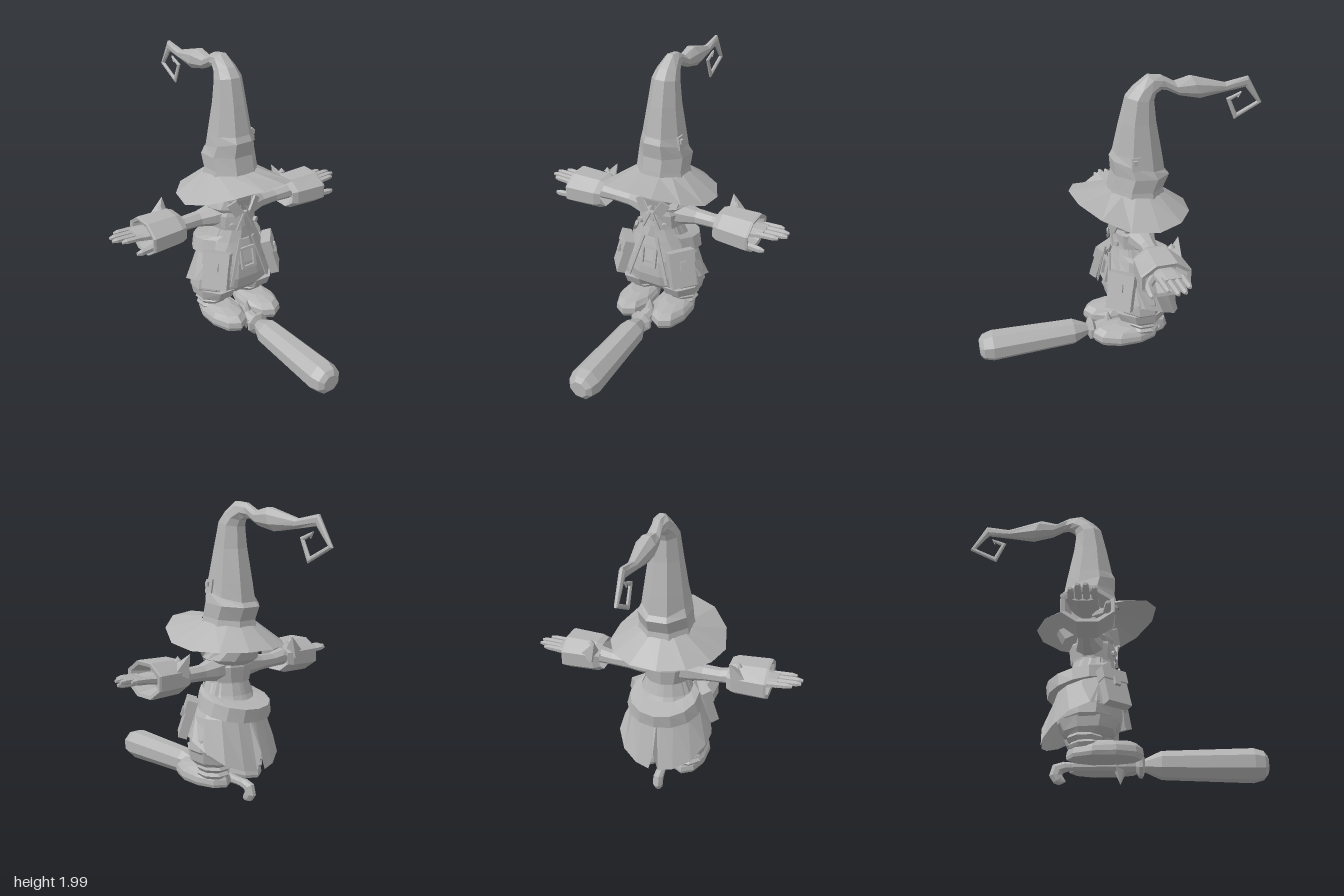
import * as THREE from 'three';

const gray = new THREE.MeshStandardMaterial({ color: 0xb4b4b4, flatShading: true, side: THREE.DoubleSide });
gray.name = 'plain gray';

// Ring of n points around c, spanned by the vectors u and v, with flat sides facing u and v
function ring(c, u, v, n) {
  const s = 1 / Math.cos(Math.PI / n);
  return Array.from({ length: n }, (_, i) => {
    const a = ((i + 0.5) / n) * Math.PI * 2;
    return c.map((k, j) => k + s * (u[j] * Math.cos(a) + v[j] * Math.sin(a)));
  });
}

// Skin a list of point rows; closed rows wrap round, caps fill the two ends
function loft(rows, closed = true, caps = true) {
  const p = [];
  const n = rows[0].length;
  for (let r = 0; r < rows.length - 1; r++) {
    for (let i = 0; i < (closed ? n : n - 1); i++) {
      const j = (i + 1) % n;
      const [a, b, c, d] = [rows[r][i], rows[r][j], rows[r + 1][j], rows[r + 1][i]];
      p.push(...a, ...d, ...c, ...a, ...c, ...b);
    }
  }
  if (closed && caps) {
    const first = rows[0], last = rows[rows.length - 1];
    for (let i = 1; i < n - 1; i++) {
      p.push(...first[0], ...first[i], ...first[i + 1]);
      p.push(...last[0], ...last[i + 1], ...last[i]);
    }
  }
  const g = new THREE.BufferGeometry();
  g.setAttribute('position', new THREE.Float32BufferAttribute(p, 3));
  g.computeVertexNormals();
  return g;
}

// Rows are [front z, front y, back z, back y, half width]
const body = (rows, n = 8, cx = 0) => loft(rows.map(([zf, yf, zb, yb, w]) =>
  ring([cx, (yf + yb) / 2, (zf + zb) / 2], [w, 0, 0], [0, (yf - yb) / 2, (zf - zb) / 2], n)));

// Cloth wrapped round the back; rows are [y, half width, front z, back z, front gap angle, hem drop]
const wrap = (rows, cols) => loft(rows.map(([y, w, zf, zb, gap, drop = 0]) =>
  cols.map((t) => {
    const a = gap + t * (2 * Math.PI - 2 * gap);
    const back = Math.max(0, -Math.cos(a));
    const slit = t === 0.5 ? 0.35 : 1;
    return [w * Math.sin(a), y - drop * back * slit, (zf + zb) / 2 + ((zf - zb) / 2) * Math.cos(a)];
  })), false);

export function createModel() {
  const model = new THREE.Group();

  function add(name, geo, pos = [0, 0, 0], rot = [0, 0, 0], parent = model) {
    const m = new THREE.Mesh(geo, gray);
    m.name = name;
    m.position.set(...pos);
    m.rotation.set(...rot);
    parent.add(m);
    return m;
  }
  const box = (name, size, pos, rot, parent) => add(name, new THREE.BoxGeometry(...size), pos, rot, parent);

  // Pointed hat, bending back into a square curl
  add('hatCone', body([
    [0.06, 1.22, -0.31, 1.19, 0.175], [0.05, 1.27, -0.3, 1.24, 0.165], [0.03, 1.36, -0.34, 1.33, 0.165],
    [0.04, 1.46, -0.31, 1.36, 0.145], [0.02, 1.5, -0.29, 1.48, 0.132], [-0.02, 1.7, -0.25, 1.7, 0.102],
    [-0.06, 1.87, -0.235, 1.84, 0.085], [-0.11, 1.93, -0.25, 1.88, 0.07], [-0.2, 2, -0.29, 1.9, 0.05],
    [-0.29, 1.99, -0.33, 1.89, 0.035], [-0.38, 1.94, -0.41, 1.85, 0.045], [-0.49, 1.965, -0.55, 1.82, 0.06],
    [-0.73, 1.9, -0.72, 1.84, 0.028], [-0.89, 1.93, -0.875, 1.86, 0.018], [-1, 1.74, -0.965, 1.75, 0.012],
    [-0.81, 1.64, -0.825, 1.68, 0.011], [-0.745, 1.79, -0.78, 1.775, 0.01], [-0.85, 1.83, -0.835, 1.805, 0.009],
    [-0.83, 1.785, -0.825, 1.79, 0.005],
  ]));
  const brimEdge = ring([0, 0, -0.085], [0.38, 0, 0], [0, 0, 0.397], 13)
    .map(([x, , z]) => [x, 1.07 + 0.16 * Math.max(0, (z + 0.1) / 0.41) ** 1.4, z]);
  const brimTop = ring([0, 1.225, -0.125], [0.17, 0, 0], [0, 0.02, 0.185], 13);
  add('hatBrim', loft([brimEdge, brimTop], true, false));
  box('hatPatch', [0.02, 0.09, 0.06], [0.14, 1.455, -0.09], [0, 0, 0.15]);
  box('hatPatchStud', [0.02, 0.03, 0.025], [0.152, 1.47, -0.08]);

  // Head and standing collar
  add('head', body([[0, 0.93, -0.23, 0.93, 0.12], [0.03, 1.04, -0.25, 1.04, 0.135], [0.04, 1.22, -0.26, 1.2, 0.13]]));
  const round = [0, 0.1, 0.2, 0.3, 0.4, 0.5, 0.6, 0.7, 0.8, 0.9, 1];
  add('collar', wrap([[0.93, 0.14, 0.02, -0.25, 0.15], [0.98, 0.19, 0.04, -0.32, 0.35],
    [1.06, 0.16, 0.03, -0.36, 0.75]], round));
  add('shoulderCape', wrap([[1, 0.13, 0.02, -0.25, 0.1], [0.93, 0.17, 0.04, -0.27, 0.2],
    [0.83, 0.155, 0.05, -0.26, 0.4]], round));

  // Torso and baggy trousers
  add('torso', body([[0.02, 0.7, -0.26, 0.7, 0.19], [0.015, 0.83, -0.23, 0.83, 0.135],
    [0, 0.93, -0.23, 0.93, 0.14], [-0.03, 0.99, -0.21, 0.99, 0.11]]));
  add('trousers', body([[0.03, 0.34, -0.3, 0.34, 0.27], [0.07, 0.39, -0.33, 0.38, 0.31],
    [0.085, 0.47, -0.34, 0.46, 0.3], [0.075, 0.58, -0.31, 0.58, 0.25], [0.03, 0.74, -0.25, 0.74, 0.165]], 12));

  // Open coat with a long split back
  const coatCols = [0, 0.08, 0.16, 0.25, 0.34, 0.42, 0.48, 0.5, 0.52, 0.58, 0.66, 0.75, 0.84, 0.92, 1];
  add('coat', wrap([[0.95, 0.14, 0.01, -0.24, 0.1], [0.82, 0.145, 0.035, -0.245, 0.12], [0.74, 0.18, 0.055, -0.27, 0.22],
    [0.6, 0.255, 0.095, -0.35, 0.4], [0.45, 0.325, 0.11, -0.44, 0.55, 0.19]], coatCols));
  // Belt, sloping down over the back
  const beltRow = (y, w, zb) => round.map((t) => {
    const a = 0.9 + t * (2 * Math.PI - 1.8);
    return [w * Math.sin(a), y + 0.05 * Math.cos(a), (0.06 + zb) / 2 + ((0.06 - zb) / 2) * Math.cos(a)];
  });
  add('backBelt', loft([beltRow(0.76, 0.18, -0.28), beltRow(0.725, 0.235, -0.42),
    beltRow(0.635, 0.26, -0.41), beltRow(0.64, 0.23, -0.33)], false));

  // Belt buckle frame
  const frame = new THREE.Shape([[-0.06, 0.08], [0.06, 0.08], [0.06, -0.075], [-0.06, -0.075]].map((p) => new THREE.Vector2(...p)));
  frame.holes.push(new THREE.Path([[-0.04, 0.06], [-0.04, -0.055], [0.04, -0.055], [0.04, 0.06]].map((p) => new THREE.Vector2(...p))));
  add('buckle', new THREE.ExtrudeGeometry(frame, { depth: 0.02, bevelEnabled: false }), [0, 0.62, 0.075], [-0.2, 0, 0]);
  box('neckClasp', [0.03, 0.07, 0.02], [0, 0.93, 0.04], [0, 0, 0]);

  // Everything that comes in pairs is built on +x and mirrored
  for (const [label, sign] of [['left', 1], ['right', -1]]) {
    const side = new THREE.Group();
    side.name = label + 'Side';
    side.scale.x = sign;
    model.add(side);
    const sleeve = (rows, n) => loft(rows.map(([x, y, z, hy, hz]) => ring([x, y, z], [0, 0, hz], [0, hy, 0], n)));

    // Arm and hollow cuff
    add('arm', sleeve([[0.08, 0.92, -0.12, 0.085, 0.1], [0.17, 0.91, -0.13, 0.07, 0.08], [0.26, 0.905, -0.14, 0.05, 0.055],
      [0.38, 0.905, -0.14, 0.045, 0.05], [0.5, 0.915, -0.13, 0.055, 0.06]], 8), [0, 0, 0], [0, 0, 0], side);
    add('cuff', sleeve([[0.52, 0.92, -0.13, 0.06, 0.07], [0.44, 0.92, -0.12, 0.095, 0.13], [0.48, 0.92, -0.12, 0.11, 0.15],
      [0.69, 0.92, -0.115, 0.115, 0.165], [0.705, 0.92, -0.115, 0.112, 0.16], [0.7, 0.92, -0.115, 0.09, 0.135],
      [0.58, 0.92, -0.12, 0.07, 0.1]], 8), [0, 0, 0], [0, 0, 0], side);
    add('cuffPoint', new THREE.ConeGeometry(0.07, 0.14, 4), [0.485, 1.015, -0.25], [-0.5, 0.4, 0.4], side);
    add('cuffStud', new THREE.ConeGeometry(0.025, 0.03, 6), [0.51, 1.045, -0.21], [0, 0, 0], side);

    // Hand with four fingers and a thumb
    add('palm', sleeve([[0.57, 0.92, -0.13, 0.03, 0.05], [0.66, 0.93, -0.135, 0.035, 0.09],
      [0.76, 0.94, -0.14, 0.022, 0.088]], 8), [0, 0, 0], [0, 0, 0], side);
    [[-0.07, 0.87], [-0.118, 0.915], [-0.165, 0.91], [-0.21, 0.86]].forEach(([z, tip]) =>
      add('finger', sleeve([[0.72, 0.94, z, 0.018, 0.02], [tip - 0.03, 0.947, z, 0.016, 0.018],
        [tip, 0.947, z, 0.009, 0.01]], 6), [0, 0, 0], [0, 0, 0], side));
    add('thumb', sleeve([[0.62, 0.9, -0.06, 0.025, 0.03], [0.69, 0.885, 0, 0.022, 0.022],
      [0.78, 0.882, 0.01, 0.02, 0.018], [0.81, 0.882, 0.01, 0.01, 0.01]], 6), [0, 0, 0], [0, 0, 0], side);

    // Coat pocket with flap and clasp
    const pocket = new THREE.Group();
    pocket.name = 'pocket';
    pocket.position.set(0.23, 0.57, 0.035);
    pocket.rotation.set(-0.3, 0.9, 0, 'YXZ');
    side.add(pocket);
    box('pocketBag', [0.18, 0.24, 0.06], [0, -0.01, 0], [0, 0, 0], pocket);
    box('pocketFlap', [0.19, 0.09, 0.07], [0, 0.085, 0.005], [0, 0, 0], pocket);
    box('pocketClasp', [0.045, 0.06, 0.02], [0, 0.03, 0.042], [0, 0, 0], pocket);

    // Coat front edging, lapel, neck cord and button
    box('frontEdge', [0.022, 0.35, 0.012], [0.1, 0.61, 0.085], [-0.17, 0.2, 0.3], side);
    box('lapel', [0.07, 0.11, 0.015], [0.075, 1.0, 0.045], [0.1, 0.4, -0.6], side);
    box('neckCord', [0.014, 0.14, 0.014], [0.035, 0.9, 0.05], [-0.1, 0.2, 0.45], side);
    add('button', new THREE.CylinderGeometry(0.022, 0.022, 0.02, 8), [0.095, 0.87, 0.035], [Math.PI / 2, 0, -0.5], side);

    // Trouser leg, boot cuff and shoe
    add('trouserLeg', body([[-0.03, 0.275, -0.25, 0.275, 0.105], [0.03, 0.31, -0.28, 0.3, 0.13],
      [0.06, 0.38, -0.31, 0.37, 0.14]], 8, 0.155), [0, 0, 0], [0, 0, 0], side);
    add('bootCuff', body([[-0.04, 0.19, -0.24, 0.19, 0.09], [-0.035, 0.22, -0.25, 0.21, 0.105], [-0.05, 0.235, -0.23, 0.23, 0.09],
      [-0.035, 0.26, -0.26, 0.255, 0.108], [-0.06, 0.285, -0.24, 0.285, 0.095]], 8, 0.155), [0, 0, 0], [0, 0, 0], side);
    add('shoe', body([[0.19, 0.13, -0.25, 0.13, 0.115], [0.205, 0.16, -0.255, 0.15, 0.125], [0.2, 0.2, -0.25, 0.18, 0.12],
      [0.16, 0.235, -0.24, 0.2, 0.1], [0.04, 0.245, -0.23, 0.22, 0.07]], 10, 0.145), [0, 0, 0], [0, 0, 0], side);
  }

  // Club lying along the ground, with a spike and a hooked end
  const club = (rows) => loft(rows.map(([z, y, r]) => ring([0, y, z], [r, 0, 0], [0, r, 0], 8)));
  add('clubHead', club([[1, 0.13, 0.055], [0.975, 0.13, 0.085], [0.91, 0.13, 0.102], [0.33, 0.135, 0.085],
    [0.27, 0.135, 0.06], [0.225, 0.135, 0.04], [0.21, 0.135, 0.075], [0.19, 0.135, 0.075], [0.165, 0.135, 0.04]]));
  add('clubHandle', club([[0.19, 0.135, 0.04], [0.1, 0.135, 0.05], [0, 0.135, 0.035], [-0.25, 0.13, 0.025]]));
  add('clubHook', body([[-0.23, 0.155, -0.23, 0.105, 0.025], [-0.29, 0.16, -0.27, 0.1, 0.03], [-0.36, 0.14, -0.295, 0.09, 0.032],
    [-0.38, 0.07, -0.3, 0.075, 0.032], [-0.35, 0.025, -0.29, 0.06, 0.028], [-0.32, 0.015, -0.275, 0.035, 0.018]]));
  for (const [tip, flip] of [[0.01, Math.PI], [0.26, 0]]) {
    add('clubSpike', new THREE.ConeGeometry(0.055, Math.abs(tip - 0.135), 6), [0, (tip + 0.135) / 2, 0.07], [flip, 0, 0]);
  }
  return model;
}
